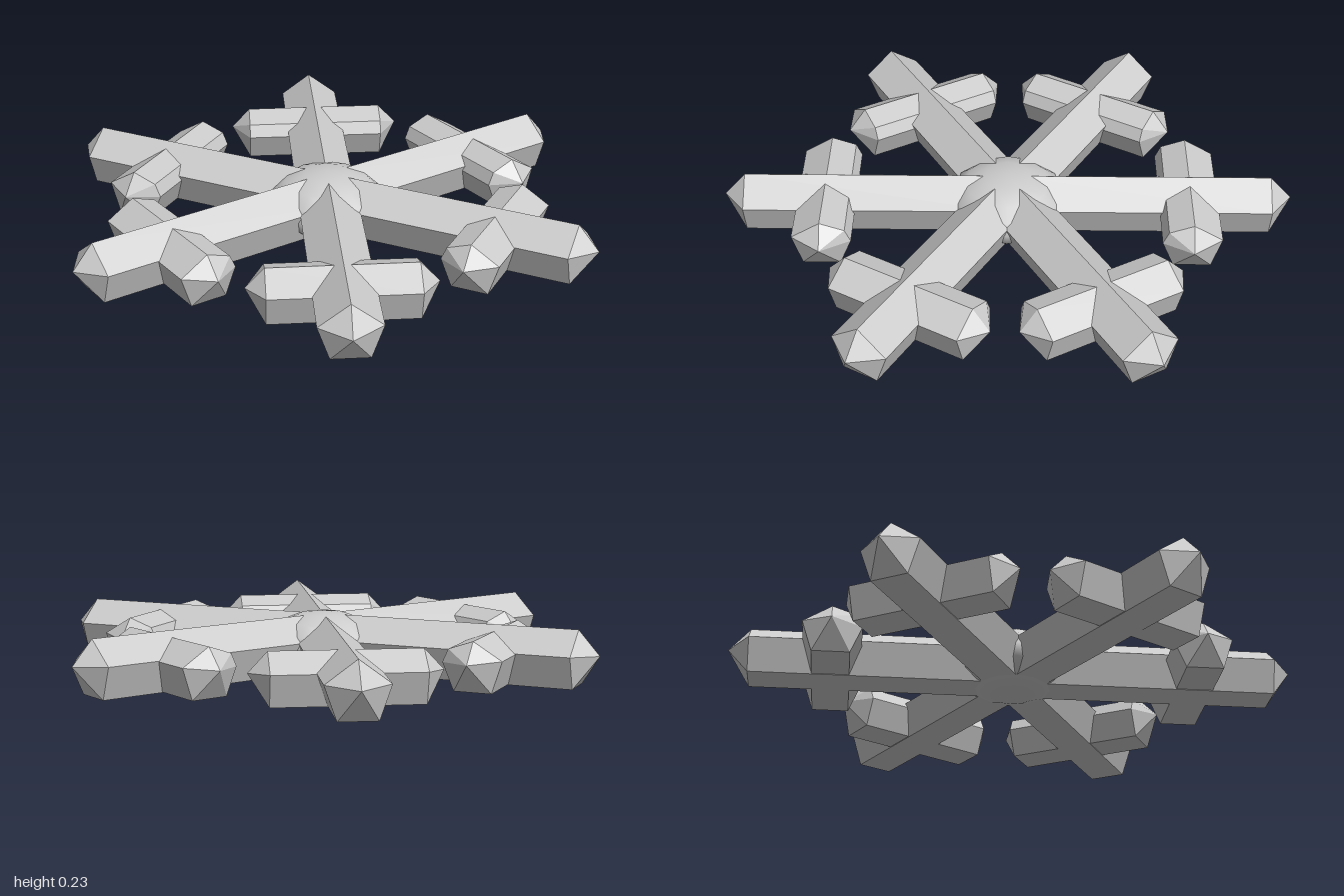
import * as THREE from 'three';

const material = new THREE.MeshStandardMaterial({ color: 0xcccccc, flatShading: true });
const smooth = new THREE.MeshStandardMaterial({ color: 0xcccccc });

// Cross-sections as [sideways, height], counter-clockwise seen from +z
const armSection = [[0, 0.22], [-0.105, 0.142], [-0.065, 0.028], [0.065, 0.028], [0.105, 0.142]];
const barSection = [[0, 0.2], [-0.085, 0.17], [-0.105, 0.125], [-0.065, 0.03], [0.065, 0.03], [0.1, 0.14]];

// Faceted crystal along z: straight body from z0 to z1, closed by points at tip0 and tip1
function crystal(section, z0, z1, tip0, tip1, tipY) {
  const n = section.length;
  const positions = [0, tipY, tip0, 0, tipY, tip1];
  const index = [];
  for (const z of [z0, z1]) for (const [x, y] of section) positions.push(x, y, z);
  for (let i = 0; i < n; i++) {
    const j = (i + 1) % n;
    const a = 2 + i, b = 2 + j, c = 2 + n + i, d = 2 + n + j;
    index.push(a, b, d, a, d, c, 0, b, a, 1, c, d);
  }
  const geometry = new THREE.BufferGeometry();
  geometry.setAttribute('position', new THREE.Float32BufferAttribute(positions, 3));
  geometry.setIndex(index);
  const flat = geometry.toNonIndexed();
  flat.computeVertexNormals();
  return flat;
}

export function createModel() {
  const snowflake = new THREE.Group();
  snowflake.name = 'snowflake';

  const armGeometry = crystal(armSection, 0.02, 0.925, 0, 1, 0.135);
  const barGeometry = crystal(barSection, -0.25, 0.25, -0.315, 0.315, 0.13);
  // Turn the bar across the arm, keeping its steeper side towards the centre
  barGeometry.rotateY(-Math.PI / 2);
  barGeometry.translate(0, 0, 0.64);

  // Six identical arms, each with a crossbar
  for (let i = 0; i < 6; i++) {
    const branch = new THREE.Group();
    branch.name = `branch${i + 1}`;
    const arm = new THREE.Mesh(armGeometry, material);
    arm.name = 'arm';
    const bar = new THREE.Mesh(barGeometry, material);
    bar.name = 'crossbar';
    branch.add(arm, bar);
    branch.rotation.y = (i * Math.PI) / 3;
    snowflake.add(branch);
  }

  // Flattened rounded hub
  const hub = new THREE.Mesh(new THREE.SphereGeometry(0.21, 12, 8), smooth);
  hub.name = 'hub';
  hub.scale.y = 0.115 / 0.21;
  hub.position.y = 0.115;
  snowflake.add(hub);

  return snowflake;
}
